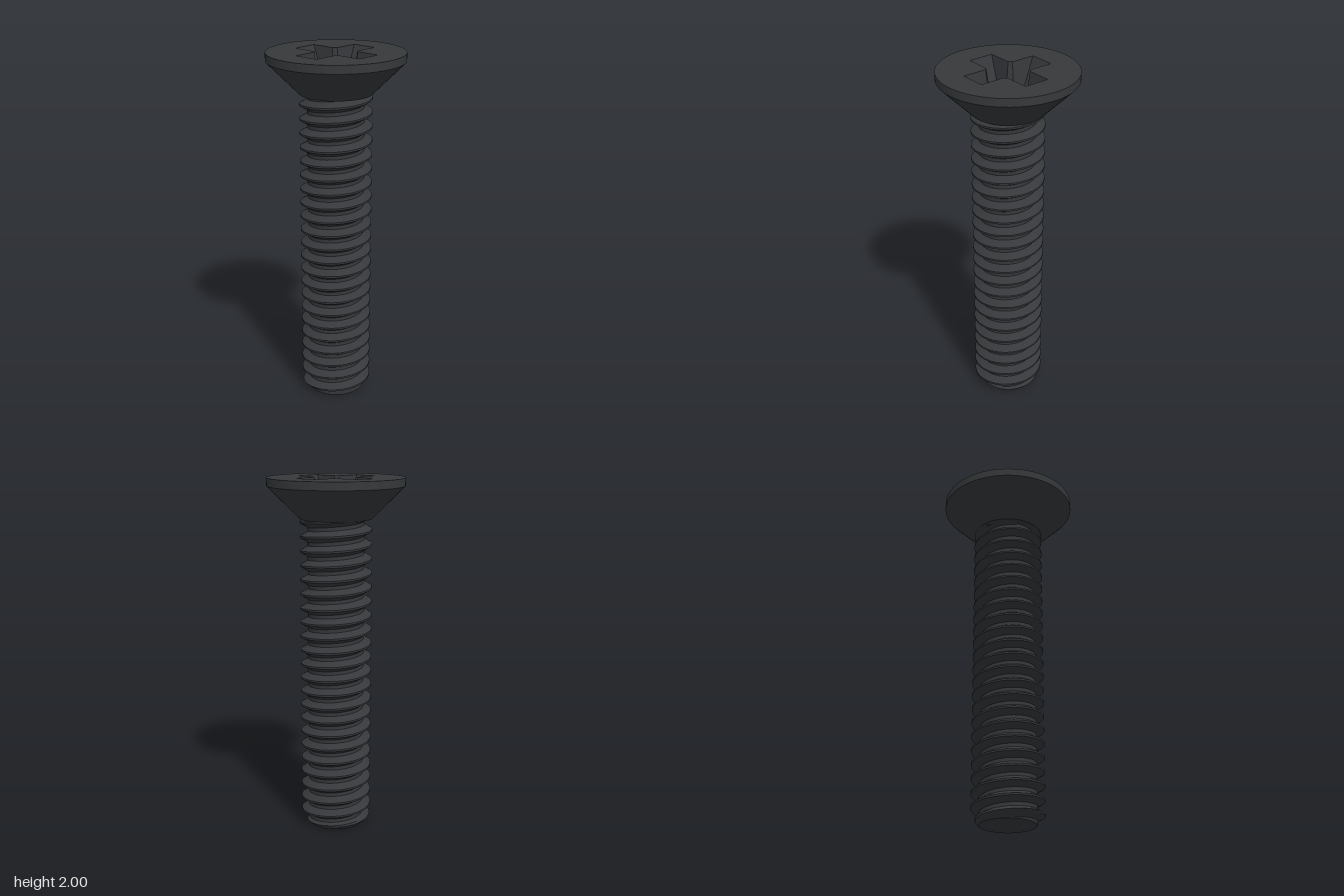
import * as THREE from 'three';
import { toCreasedNormals } from 'three/addons/utils/BufferGeometryUtils.js';

const material = new THREE.MeshStandardMaterial({ color: 0x36383b });
const CREASE = 0.55;
const SEGMENTS = 96;
const HEAD_BOTTOM = 1.775, TOP = 2, FLOOR = 1.84, TIP = 1.81;
const V2 = (x, y) => new THREE.Vector2(x, y);

function part(name, geometry) {
  const mesh = new THREE.Mesh(geometry, material);
  mesh.name = name;
  return mesh;
}

function lathe(points) {
  return toCreasedNormals(new THREE.LatheGeometry(points.map(p => V2(...p)), SEGMENTS), CREASE);
}

// flat shape laid horizontally at height y, facing up
function flat(shape, y) {
  return new THREE.ShapeGeometry(shape, SEGMENTS / 2).rotateX(-Math.PI / 2).translate(0, y, 0);
}

// outline of a cross: inner corner distance c, arm length l, half width w
function crossOutline(c, l, w) {
  const points = [];
  for (let i = 0; i < 4; i++) {
    for (const [x, y] of [[c, -w], [l, -w], [l, w], [c, w]]) {
      points.push(V2(x, y).rotateAround(V2(0, 0), i * Math.PI / 2));
    }
  }
  return points;
}

function surface(positions) {
  const g = new THREE.BufferGeometry();
  g.setAttribute('position', new THREE.Float32BufferAttribute(positions, 3));
  return toCreasedNormals(g, CREASE);
}

// right-handed helical thread: a tooth profile swept up and around the shank
function threadGeometry() {
  const pitch = 0.08, crest = 0.2, root = 0.157, endRadius = 0.155, start = 0.005, columns = 72;
  const mid = (crest + root) / 2;
  const profile = [[-0.03, root], [-0.0175, mid], [-0.005, crest], [0.005, crest], [0.0175, mid], [0.03, root]];
  const rows = [];
  for (let turn = -2; turn <= 23; turn++) {
    for (const [dy, r] of profile) rows.push([start + turn * pitch + dy, r]);
  }
  const vertex = (i, j) => {
    const a = i / columns * Math.PI * 2;
    let [y, r] = rows[j];
    y += pitch * i / columns;
    if (y <= 0) { y = 0; r = endRadius; }
    if (y >= HEAD_BOTTOM + 0.005) { y = HEAD_BOTTOM + 0.005; r = 0.16; }
    r = Math.min(r, endRadius + y); // chamfered tip
    return [r * Math.cos(a), y, -r * Math.sin(a)];
  };
  const positions = [];
  for (let j = 0; j < rows.length - 1; j++) {
    for (let i = 0; i < columns; i++) {
      const a = vertex(i, j), b = vertex(i + 1, j), c = vertex(i + 1, j + 1), d = vertex(i, j + 1);
      if (b[1] !== c[1]) positions.push(...a, ...b, ...c);
      if (a[1] !== d[1]) positions.push(...a, ...c, ...d);
    }
  }
  return surface(positions);
}

export function createModel() {
  const group = new THREE.Group();
  group.name = 'countersunkScrew';

  // threaded shank and its flat end
  group.add(part('threadedShank', threadGeometry()));
  group.add(part('shankEnd', new THREE.CircleGeometry(0.155, 72).rotateX(Math.PI / 2)));

  // countersunk cone and rim
  group.add(part('headSide', lathe([[0.15, HEAD_BOTTOM], [0.2, HEAD_BOTTOM], [0.38, 1.955], [0.38, TOP]])));

  // top face with the cross opening
  const upper = crossOutline(0.09, 0.23, 0.073);
  const lower = crossOutline(0.08, 0.152, 0.053);
  const face = new THREE.Shape().absarc(0, 0, 0.38, 0, Math.PI * 2);
  face.holes.push(new THREE.Path(upper));
  group.add(part('headTop', flat(face, TOP)));

  // tapered recess walls, facing inwards
  const recess = new THREE.Group();
  recess.name = 'crossRecess';
  const walls = [];
  upper.forEach((p, i) => {
    const k = (i + 1) % upper.length;
    const a = [p.x, TOP, -p.y], b = [upper[k].x, TOP, -upper[k].y];
    const c = [lower[k].x, FLOOR, -lower[k].y], d = [lower[i].x, FLOOR, -lower[i].y];
    walls.push(...a, ...b, ...c, ...a, ...c, ...d);
  });
  recess.add(part('recessWalls', surface(walls)));

  // floor of each arm, cut round at the centre
  const radius = Math.hypot(0.08, 0.053), angle = Math.atan2(0.053, 0.08);
  for (let i = 0; i < 4; i++) {
    const arm = new THREE.Shape([V2(0.08, -0.053), V2(0.152, -0.053), V2(0.152, 0.053), V2(0.08, 0.053)]);
    arm.absarc(0, 0, radius, angle, -angle, true);
    recess.add(part('recessFloor', flat(arm, FLOOR).rotateY(i * Math.PI / 2)));
  }

  // shallow cone at the centre of the recess
  recess.add(part('recessCone', lathe([[radius, FLOOR], [0, TIP]])));
  group.add(recess);
  return group;
}
